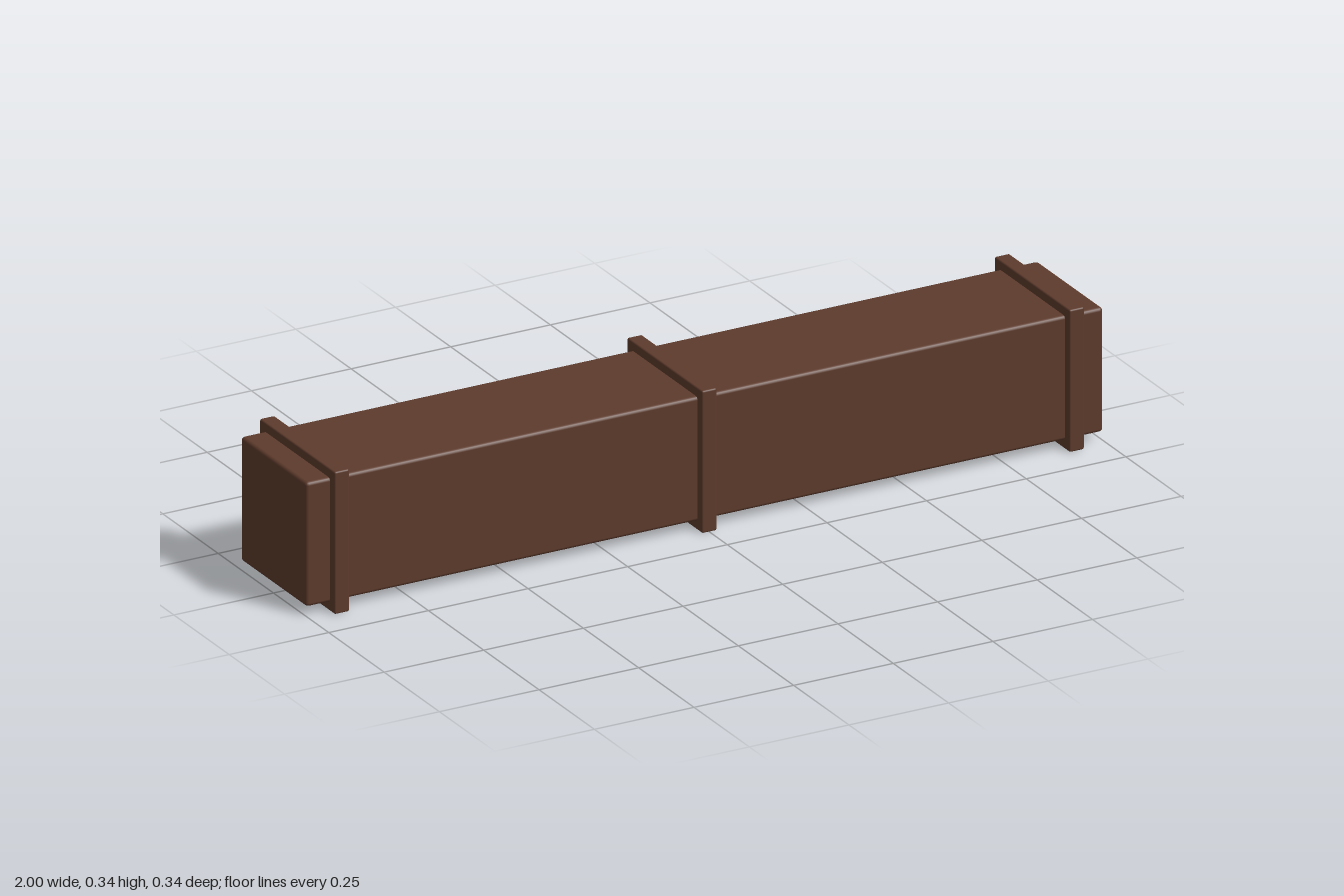
import * as THREE from 'three';
import { RoundedBoxGeometry } from 'three/addons/geometries/RoundedBoxGeometry.js';

export function createModel() {
  const group = new THREE.Group();
  const wood = new THREE.MeshStandardMaterial({ color: 0x5e3b2c });
  wood.name = 'brown wood';
  const centreY = 0.17;

  const addBlock = (name, x, length, size, radius) => {
    const mesh = new THREE.Mesh(new RoundedBoxGeometry(length, size, size, 2, radius), wood);
    mesh.name = name;
    mesh.position.set(x, centreY, 0);
    group.add(mesh);
  };

  // Long square beam with softened edges
  addBlock('beam', 0, 2, 0.297, 0.008);

  // Raised collars at both ends and the middle
  const collars = { rightCollar: -0.922, middleCollar: 0, leftCollar: 0.922 };
  for (const [name, x] of Object.entries(collars)) addBlock(name, x, 0.037, 0.34, 0.004);

  return group;
}
